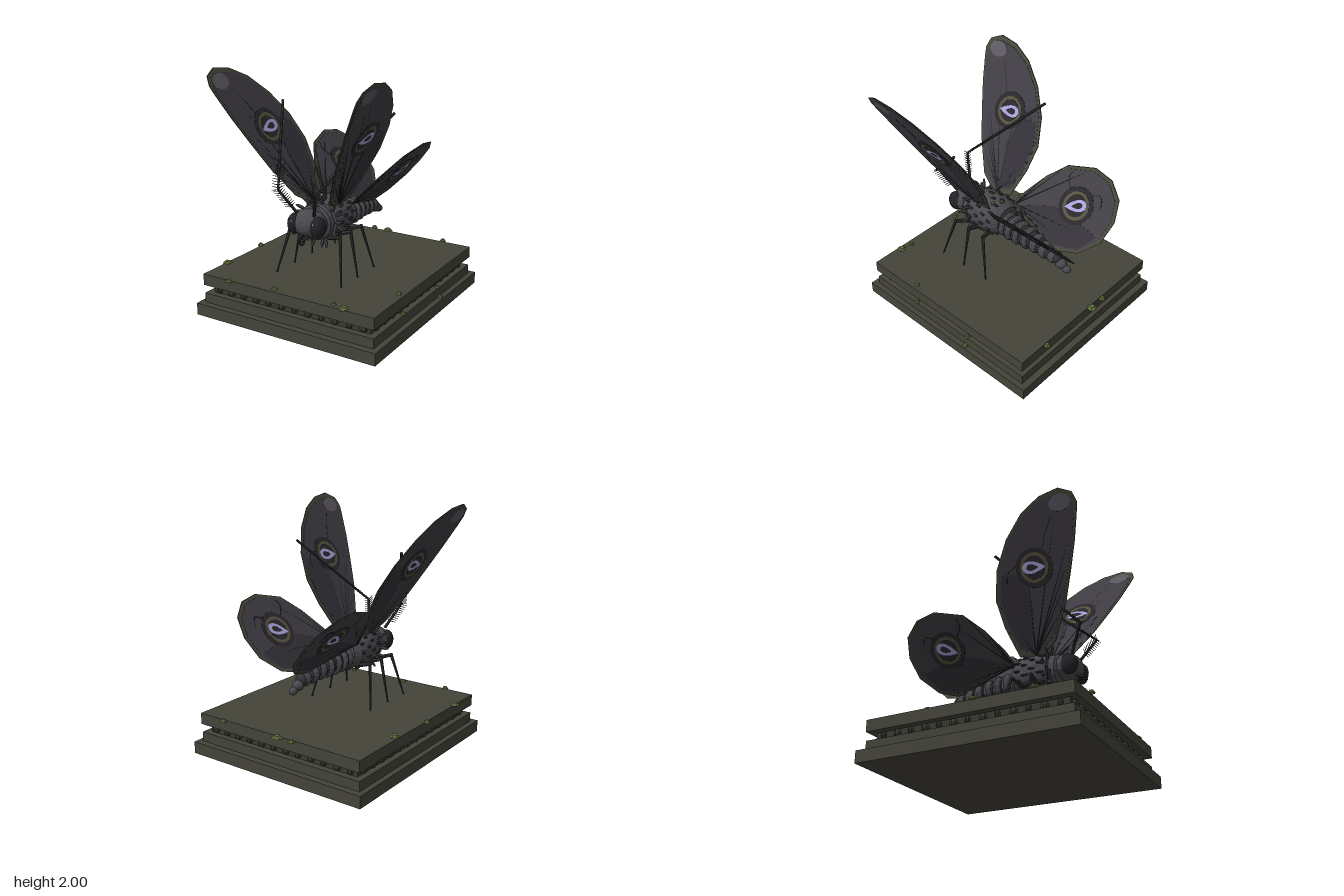
import * as THREE from 'three';

const V = (x, y, z) => new THREE.Vector3(x, y, z);
const mat = (color, flatShading = true) => new THREE.MeshStandardMaterial({ color, flatShading });
const M = {
  stone: mat(0x45443a), stoneDark: mat(0x3a3932), moss: mat(0x5c6b3a),
  body: mat(0x4a484d), bodyDark: mat(0x333236), eye: mat(0x232226, false), glint: mat(0x8f8d99, false),
  leg: mat(0x313034), border: mat(0x46463a), panel: mat(0x403d44), patch: mat(0x343238),
  vein: mat(0x262528), ring: mat(0x55533f), spot: mat(0x2a282c), drop: mat(0xaaa2dc), tip: mat(0x5c5962),
};

function add(parent, name, geo, material, pos, scale) {
  const m = new THREE.Mesh(geo, material);
  m.name = name;
  if (pos) m.position.copy(pos);
  if (scale) m.scale.copy(scale);
  parent.add(m);
  return m;
}

// tapered rod between two points
function rod(parent, name, a, b, r0, r1, material, sides = 6) {
  const d = b.clone().sub(a);
  const m = add(parent, name, new THREE.CylinderGeometry(r1, r0, d.length(), sides), material, a.clone().lerp(b, 0.5));
  m.quaternion.setFromUnitVectors(V(0, 1, 0), d.normalize());
  return m;
}

function group(parent, name) {
  const g = new THREE.Group();
  g.name = name;
  parent.add(g);
  return g;
}

// stepped plinth with a beaded recess and moss tufts
function buildPlinth(root) {
  const g = group(root, 'plinth');
  const slab = (name, w, y0, y1, d, m) =>
    add(g, name, new THREE.BoxGeometry(w, y1 - y0, d), m, V(0, (y0 + y1) / 2, 0));
  slab('baseSlab', 1.66, 0, 0.1, 1.8, M.stone);
  slab('lowerSlab', 1.57, 0.1, 0.18, 1.69, M.stone);
  slab('recess', 1.46, 0.18, 0.25, 1.58, M.stoneDark);
  slab('topSlab', 1.58, 0.25, 0.345, 1.7, M.stone);
  const bead = new THREE.SphereGeometry(0.034, 8, 6);
  for (const s of [-1, 1]) {
    for (let i = 0; i < 12; i++)
      add(g, 'bead', bead, M.stoneDark, V(-0.67 + i * 0.122, 0.216, s * 0.79), V(i % 2 ? 1 : 0.75, 1, 1));
    for (let i = 0; i < 13; i++)
      add(g, 'bead', bead, M.stoneDark, V(s * 0.73, 0.216, -0.72 + i * 0.12), V(1, 1, i % 2 ? 1 : 0.6));
  }
  const tuft = new THREE.CylinderGeometry(0.5, 1, 1, 6);
  const spots = [[-0.18, -0.87, 0.03], [-0.04, -0.87, 0.045], [0.52, -0.87, 0.03], [-0.75, -0.33, 0.045],
    [-0.8, 0.07, 0.03], [-0.78, 0.55, 0.045], [0.74, 0.38, 0.03], [-0.12, 0.8, 0.03], [0.42, 0.8, 0.025],
    [0.52, 0.82, 0.045], [-0.52, 0.86, 0.03], [0.8, -0.24, 0.03, 0.1], [0.77, -0.24, 0.025, 0.18], [0.77, 0.36, 0.025, 0.18]];
  for (const [x, z, r, y = 0.345] of spots)
    add(g, 'mossTuft', tuft, M.moss, V(x, y + 0.005, z), V(r, 0.022, r));
}

function buildBody(root) {
  const g = group(root, 'body');
  // thorax and collar, turned about the z axis
  const prof = [[0, 0.44], [0.12, 0.43], [0.15, 0.41], [0.155, 0.365], [0.145, 0.35], [0.165, 0.345], [0.18, 0.27],
    [0.18, 0.16], [0.16, 0.08], [0.12, 0.03], [0, 0.02]];
  const lathe = new THREE.LatheGeometry(prof.reverse().map(([r, z]) => new THREE.Vector2(r, z)), 18);
  lathe.rotateX(Math.PI / 2);
  add(g, 'thorax', lathe, M.body, V(0, 0.795, 0), V(1, 0.96, 1));

  // tuft scales standing around the collar, flatter ones over the thorax
  const scale = new THREE.SphereGeometry(1, 6, 5);
  const radial = (name, a, r, z, lean, size, m) => {
    const d = V(Math.cos(a), Math.sin(a), 0);
    const s = add(g, name, scale, m, V(d.x * r, 0.795 + d.y * r * 0.96, z), size);
    s.quaternion.setFromUnitVectors(V(0, 1, 0), d.multiplyScalar(1 - Math.abs(lean)).add(V(0, 0, lean)).normalize());
  };
  for (let i = 0; i < 20; i++)
    radial('collarTuft', i * Math.PI / 10 + 0.1, 0.185, i % 2 ? 0.33 : 0.365, 0.3, V(0.014, 0.05, 0.014), M.body);
  for (let row = 0; row < 4; row++)
    for (let i = 0; i < 13; i++)
      radial('thoraxScale', (i + (row % 2) / 2) * Math.PI * 2 / 13, 0.178 - (row === 3 ? 0.012 : 0), 0.3 - row * 0.065,
        -0.8, V(0.013, 0.032, 0.013), M.bodyDark);
  for (const [a, z] of [[0.9, 0.3], [1.2, 0.13], [1.8, 0.22], [2.2, 0.32], [1.5, 0.08]])
    radial('mossFleck', a, 0.178, z, 0, V(0.018, 0.014, 0.018), M.moss);

  // abdomen segments, tapering to the tail
  const segs = [[0.03, 0.755, 0.11], [-0.045, 0.75, 0.115], [-0.125, 0.745, 0.112], [-0.215, 0.74, 0.103],
    [-0.305, 0.73, 0.088], [-0.395, 0.715, 0.078], [-0.48, 0.7, 0.063], [-0.56, 0.665, 0.045], [-0.62, 0.635, 0.033]];
  const ball = new THREE.SphereGeometry(1, 14, 8);
  ball.rotateX(Math.PI / 2);
  for (const [z, y, r] of segs) {
    add(g, 'abdomenSegment', ball, M.body, V(0, y, z), V(r, r, Math.min(0.056, r * 1.15)));
    if (r > 0.06) add(g, 'segmentJoint', ball, M.bodyDark, V(0, y, z - 0.04), V(r * 0.8, r * 0.8, 0.04));
  }

  // head, eyes and coiled tongue
  add(g, 'head', ball, M.body, V(0, 0.81, 0.48), V(0.15, 0.118, 0.115));
  const round = new THREE.SphereGeometry(1, 20, 14);
  for (const s of [-1, 1]) {
    add(g, 'eye', round, M.eye, V(s * 0.108, 0.805, 0.525), V(0.058, 0.086, 0.07));
    add(g, 'eyeGlint', round, M.glint, V(s * 0.1, 0.84, 0.587), V(0.009, 0.009, 0.006));
    rod(g, 'palp', V(s * 0.03, 0.74, 0.55), V(s * 0.022, 0.7, 0.62), 0.018, 0.008, M.bodyDark);
  }
  const coil = [];
  for (let i = 0; i <= 24; i++) {
    const t = i / 24, a = 1.7 + t * 9, r = 0.042 - 0.028 * t;
    coil.push(V(0, 0.695 + r * Math.sin(a), 0.59 + r * Math.cos(a)));
  }
  add(g, 'tongue', new THREE.TubeGeometry(new THREE.CatmullRomCurve3(coil), 48, 0.007, 6), M.leg);
}

// feathered antenna: short stem, elbow, long shaft swept back
function buildAntenna(root, s) {
  const g = group(root, 'antenna');
  const base = V(s * 0.08, 0.9, 0.54), elbow = V(s * 0.17, 1.1, 0.655), end = V(s * 0.52, 1.67, 0.085);
  rod(g, 'stem', base, elbow, 0.013, 0.01, M.leg);
  rod(g, 'shaft', elbow, end, 0.009, 0.011, M.leg);
  const barbs = (a, b, t0, t1, n) => {
    const d = b.clone().sub(a).normalize(), side = V(s, 0, 0.35).cross(d).cross(d).normalize();
    for (let i = 0; i < n; i++) {
      const p = a.clone().lerp(b, t0 + (t1 - t0) * i / (n - 1));
      for (const k of [-1, 1])
        rod(g, 'barb', p, p.clone().addScaledVector(side, k * 0.05).addScaledVector(d, 0.018), 0.004, 0.002, M.leg, 4);
    }
  };
  barbs(base, elbow, 0.3, 1, 10);
  barbs(elbow, end, 0.02, 0.25, 9);
}

function buildLegs(root, s) {
  for (const [zHip, zKnee, zFoot] of [[0.35, 0.41, 0.51], [0.25, 0.255, 0.26], [0.14, 0.09, 0.0]]) {
    const g = group(root, 'leg');
    const hip = V(s * 0.09, 0.67, zHip), knee = V(s * 0.235, 0.715, zKnee), foot = V(s * 0.305, 0.347, zFoot);
    rod(g, 'thigh', hip, knee, 0.022, 0.015, M.leg);
    add(g, 'knee', new THREE.SphereGeometry(0.017, 6, 5), M.leg, knee);
    rod(g, 'shin', knee, foot, 0.014, 0.006, M.leg);
  }
}

// Wing drawn in side coordinates (z, y), then sheared outward: x = x0 + slope * (y - y0).
function buildWing(root, s, w) {
  const g = group(root, w.name);
  const lean = (y) => s * (w.x0 + w.slope * (y - w.y0));
  const squash = 1 / Math.hypot(1, w.slope);
  const layer = (name, shape, depth, m) => {
    const geo = new THREE.ExtrudeGeometry(shape, { depth, bevelEnabled: false, curveSegments: 24 });
    const p = geo.attributes.position;
    for (let i = 0; i < p.count; i++) {
      const z = p.getX(i), y = p.getY(i);
      p.setXYZ(i, lean(y) - (p.getZ(i) - depth / 2), y, z);
    }
    geo.computeVertexNormals();
    add(g, name, geo, m);
  };
  const poly = (pts) => new THREE.Shape(pts.map(([z, y]) => new THREE.Vector2(z, y)));
  const toward = ([z, y], [cz, cy], f) => [cz + (z - cz) * f, cy + (y - cy) * f];
  const ellipse = (c, rz, ry, rot = 0) => new THREE.Shape().absellipse(c[0], c[1], rz, ry, 0, Math.PI * 2, false, rot);

  layer('wingBorder', poly(w.outline), 0.008, M.border);
  layer('wingPanel', poly(w.outline.map((p) => toward(p, w.centre, 0.93))), 0.012, M.panel);
  layer('wingShade', poly(w.shade), 0.014, M.patch);
  if (w.tip) layer('wingTip', ellipse(w.tip, 0.09, 0.058), 0.015, M.tip);

  // eyespot rings with an open teardrop
  const [[r1, r2, r3], c] = [[0.157, 0.12, 0.092], w.spot];
  layer('eyespotOuter', ellipse(c, r1, r1 * squash), 0.017, M.spot);
  layer('eyespotRing', ellipse(c, r2, r2 * squash), 0.02, M.ring);
  layer('eyespotInner', ellipse(c, r3, r3 * squash), 0.023, M.spot);
  const teardrop = (k) => {
    const pts = [];
    for (let i = 0; i < 28; i++) {
      const a = i / 28 * Math.PI * 2;
      const u = k * 0.1 * Math.cos(a) - (1 - k) * 0.025, v = k * 0.065 * Math.sin(a) * Math.sin(a / 2);
      const sn = Math.sin(w.dropTurn), cs = Math.cos(w.dropTurn);
      pts.push(new THREE.Vector2(c[0] + u * cs - v * sn, c[1] + (u * sn + v * cs) * squash));
    }
    return pts;
  };
  const drop = new THREE.Shape(teardrop(1));
  drop.holes.push(new THREE.Path(teardrop(0.5)));
  layer('eyespotDrop', drop, 0.027, M.drop);

  // veins fanning from the wing root, and short curved ones round the eyespot
  const at = ([z, y]) => V(lean(y), y, z);
  for (const i of w.veins)
    rod(g, 'vein', at(w.root), at(toward(w.outline[i], w.root, 0.9)), 0.009, 0.005, M.vein, 5);
  for (const arc of w.arcs)
    add(g, 'curvedVein', new THREE.TubeGeometry(new THREE.CatmullRomCurve3(arc.map(at)), 10, 0.007, 5), M.vein);
}

const FORE = {
  name: 'foreWing', x0: 0.12, y0: 0.93, slope: 0.545, root: [0.25, 0.93], centre: [0.42, 1.5],
  outline: [[0.28, 0.9], [0.11, 0.94], [0.037, 1.157], [0.01, 1.36], [0.074, 1.565], [0.21, 1.755], [0.38, 1.9],
    [0.556, 1.98], [0.725, 2.0], [0.83, 1.95], [0.852, 1.88], [0.836, 1.82], [0.77, 1.634], [0.69, 1.45], [0.59, 1.236], [0.44, 1.0]],
  shade: [[0.25, 0.96], [0.14, 0.99], [0.08, 1.17], [0.055, 1.36], [0.11, 1.52], [0.25, 1.5], [0.32, 1.3]],
  tip: [0.715, 1.9], spot: [0.397, 1.517], dropTurn: -0.15,
  veins: [2, 3, 6, 8, 11, 12, 13, 14],
  arcs: [[[0.62, 1.83], [0.54, 1.72], [0.49, 1.63]], [[0.25, 1.56], [0.17, 1.53], [0.13, 1.42]]],
};
const HIND = {
  name: 'hindWing', x0: 0.49, y0: 1.315, slope: 0.83, root: [0.05, 0.88], centre: [-0.42, 1.03],
  outline: [[0.08, 0.87], [0.02, 0.98], [-0.1, 1.13], [-0.243, 1.254], [-0.487, 1.315], [-0.667, 1.29], [-0.8, 1.2],
    [-0.847, 1.066], [-0.815, 0.92], [-0.68, 0.8], [-0.52, 0.755], [-0.42, 0.745], [-0.2, 0.82], [0, 0.86]],
  shade: [[0.02, 0.885], [-0.3, 0.99], [-0.5, 0.98], [-0.76, 0.94], [-0.66, 0.82], [-0.45, 0.775], [-0.2, 0.84]],
  spot: [-0.476, 1.056], dropTurn: -0.45,
  veins: [2, 3, 4, 8, 9, 10, 12],
  arcs: [[[-0.56, 1.15], [-0.64, 1.17], [-0.69, 1.1]], [[-0.36, 1.13], [-0.3, 1.2], [-0.32, 1.24]]],
};
// teardrop's point faces forward, so the round end sits at -z
FORE.dropTurn += 0; HIND.dropTurn += 0;

export function createModel() {
  const root = new THREE.Group();
  root.name = 'mothOnPlinth';
  buildPlinth(root);
  buildBody(root);
  for (const s of [-1, 1]) {
    buildWing(root, s, FORE);
    buildWing(root, s, HIND);
    buildAntenna(root, s);
    buildLegs(root, s);
  }
  return root;
}
